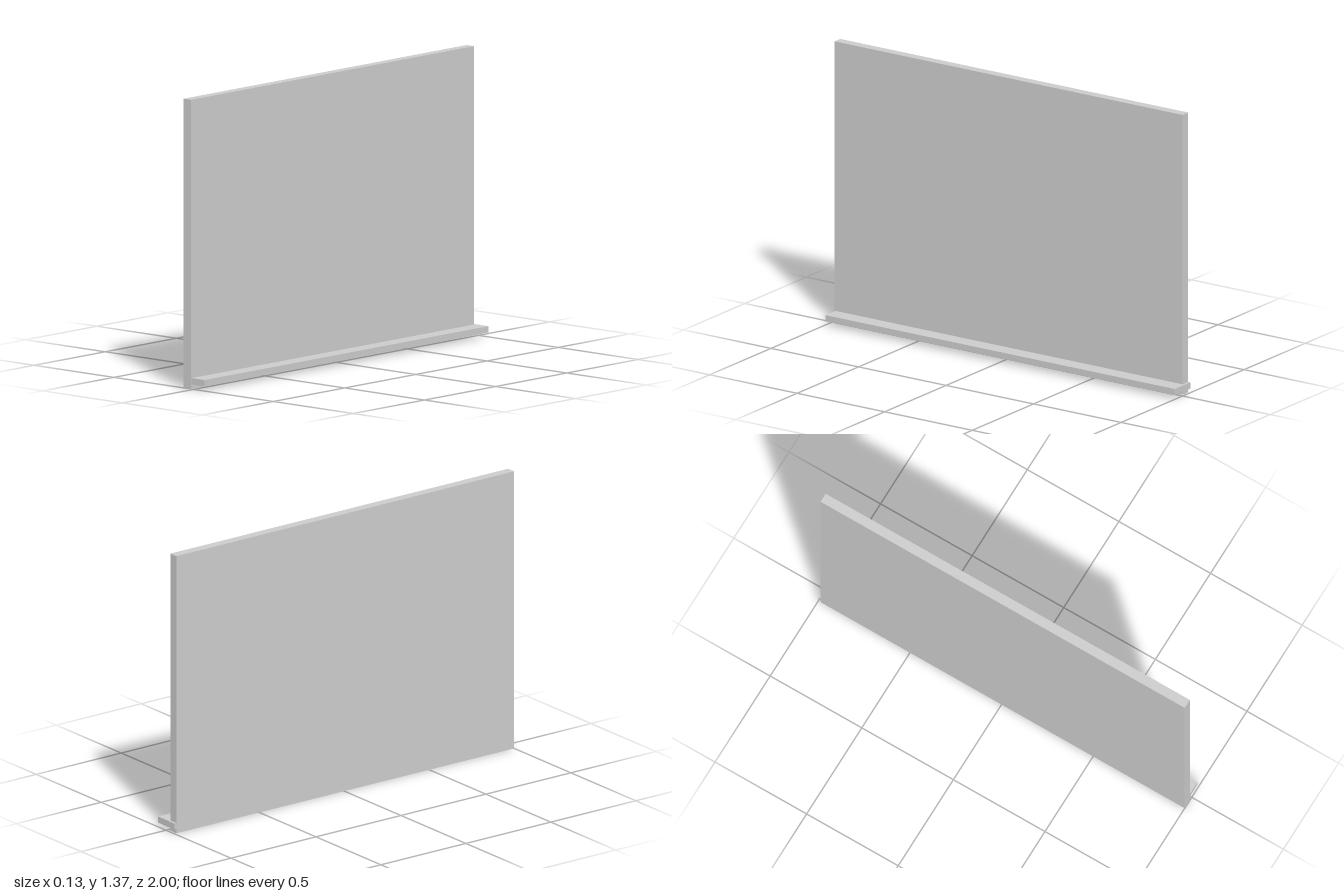
import * as THREE from 'three';

const material = new THREE.MeshStandardMaterial({ color: 0xcccccc });

// Box given by its min and max corners
function slab(name, min, max) {
  const size = max.map((v, i) => v - min[i]);
  const mesh = new THREE.Mesh(new THREE.BoxGeometry(...size), material);
  mesh.name = name;
  mesh.position.set(...max.map((v, i) => (v + min[i]) / 2));
  return mesh;
}

export function createModel() {
  const group = new THREE.Group();
  group.name = 'wallBoard';

  // Upright panel
  group.add(slab('board', [-0.0635, 0, -0.988], [-0.017, 1.372, 1]));

  // Ledge running through the panel's foot, shifted slightly to the back end
  group.add(slab('tray', [-0.0635, 0.021, -1], [0.0635, 0.051, 0.994]));

  return group;
}
